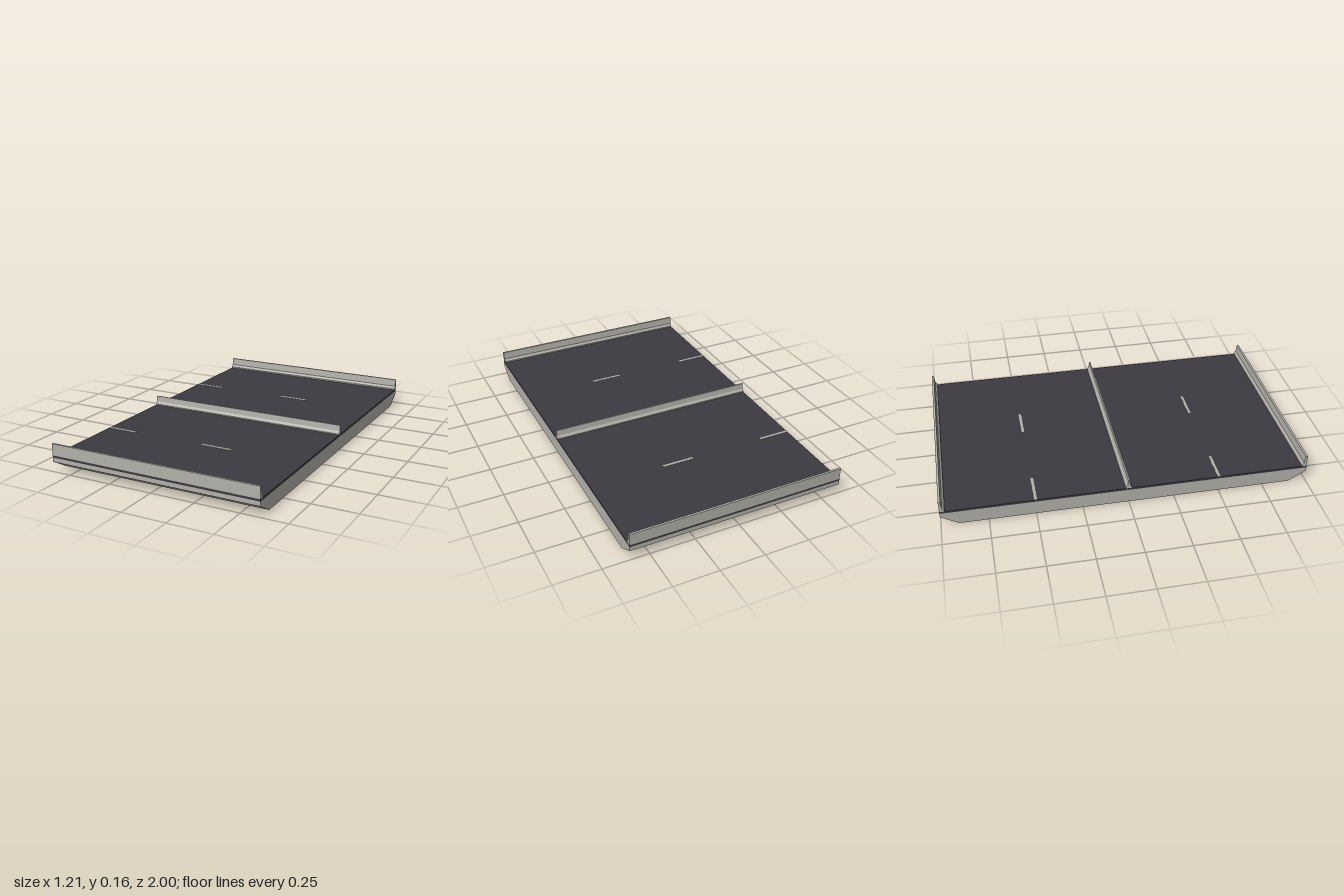
import * as THREE from 'three';

const LENGTH = 1.21;

// Extrude a (z, y) cross-section along the whole length in x
function section(name, points, material) {
  const shape = new THREE.Shape(points.map(([z, y]) => new THREE.Vector2(z, y)));
  const geometry = new THREE.ExtrudeGeometry(shape, { depth: LENGTH, bevelEnabled: false });
  geometry.translate(0, 0, -LENGTH / 2);
  geometry.rotateY(-Math.PI / 2);
  const mesh = new THREE.Mesh(geometry, material);
  mesh.name = name;
  return mesh;
}

export function createModel() {
  const concrete = new THREE.MeshStandardMaterial({ color: 0xb2b0a9 });
  concrete.name = 'concrete';
  const asphalt = new THREE.MeshStandardMaterial({ color: 0x3c3a40 });
  asphalt.name = 'asphalt';

  const model = new THREE.Group();
  model.name = 'roadDeck';

  // Concrete slab with chamfered lower edges
  model.add(section('slab', [
    [-0.905, 0], [0.905, 0], [1, 0.056], [1, 0.08], [-1, 0.08], [-1, 0.056],
  ], concrete));

  // Road surface
  model.add(section('roadSurface', [[-1, 0.08], [1, 0.08], [1, 0.092], [-1, 0.092]], asphalt));

  // Edge barriers with a sloped foot on the road side
  for (const side of [-1, 1]) {
    const profile = [
      [1, 0.092], [1, 0.157], [0.988, 0.157], [0.984, 0.114], [0.972, 0.1], [0.972, 0.092],
    ].map(([z, y]) => [z * side, y]);
    model.add(section(side > 0 ? 'frontBarrier' : 'backBarrier', profile, concrete));
  }

  // Central barrier, flared on both sides
  const half = [[0.017, 0.092], [0.017, 0.098], [0.007, 0.112], [0.004, 0.145]];
  const mirrored = half.map(([z, y]) => [-z, y]).reverse();
  model.add(section('medianBarrier', [...half, ...mirrored], concrete));

  // Dashed lane markings
  for (const z of [-0.5, 0.5]) {
    for (const x of [-0.515, 0.091]) {
      const dash = new THREE.Mesh(new THREE.BoxGeometry(0.18, 0.002, 0.015), concrete);
      dash.name = 'laneMarking';
      dash.position.set(x, 0.0925, z);
      model.add(dash);
    }
  }
  return model;
}
